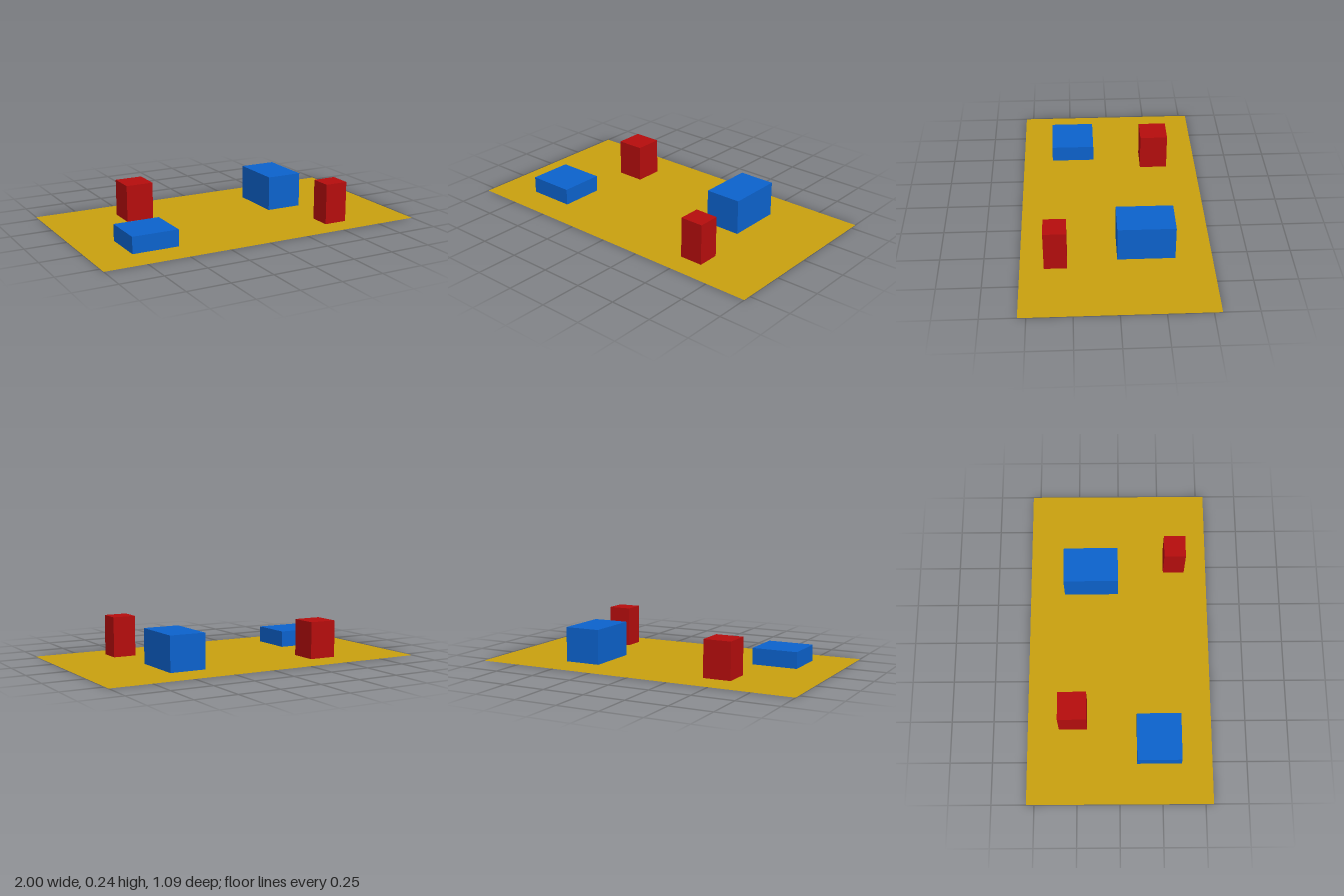
import * as THREE from 'three';

export function createModel() {
  const model = new THREE.Group();
  const yellow = new THREE.MeshStandardMaterial({ color: 0xc8a00f, side: THREE.DoubleSide });
  yellow.name = 'yellow';
  const blue = new THREE.MeshStandardMaterial({ color: 0x0c62cc });
  blue.name = 'blue';
  const red = new THREE.MeshStandardMaterial({ color: 0xb50d0d });
  red.name = 'red';

  // Flat ground sheet
  const sheet = new THREE.Mesh(new THREE.PlaneGeometry(2, 1.094).rotateX(-Math.PI / 2), yellow);
  sheet.name = 'groundSheet';
  model.add(sheet);

  // Block given by its x and z limits and its top; lifted a hair to keep its base off the sheet
  const lift = 0.001;
  function addBlock(name, material, x0, x1, z0, z1, top) {
    const block = new THREE.Mesh(new THREE.BoxGeometry(x1 - x0, top - lift, z1 - z0), material);
    block.position.set((x0 + x1) / 2, (top + lift) / 2, (z0 + z1) / 2);
    block.name = name;
    model.add(block);
  }

  // Blue buildings
  addBlock('lowBlueBlock', blue, -0.76, -0.48, 0.102, 0.365, 0.1);
  addBlock('tallBlueBlock', blue, 0.32, 0.54, -0.336, -0.005, 0.21);

  // Red towers
  addBlock('backRedTower', red, -0.55, -0.382, -0.362, -0.194, 0.222);
  addBlock('frontRedTower', red, 0.465, 0.605, 0.279, 0.41, 0.243);

  return model;
}
